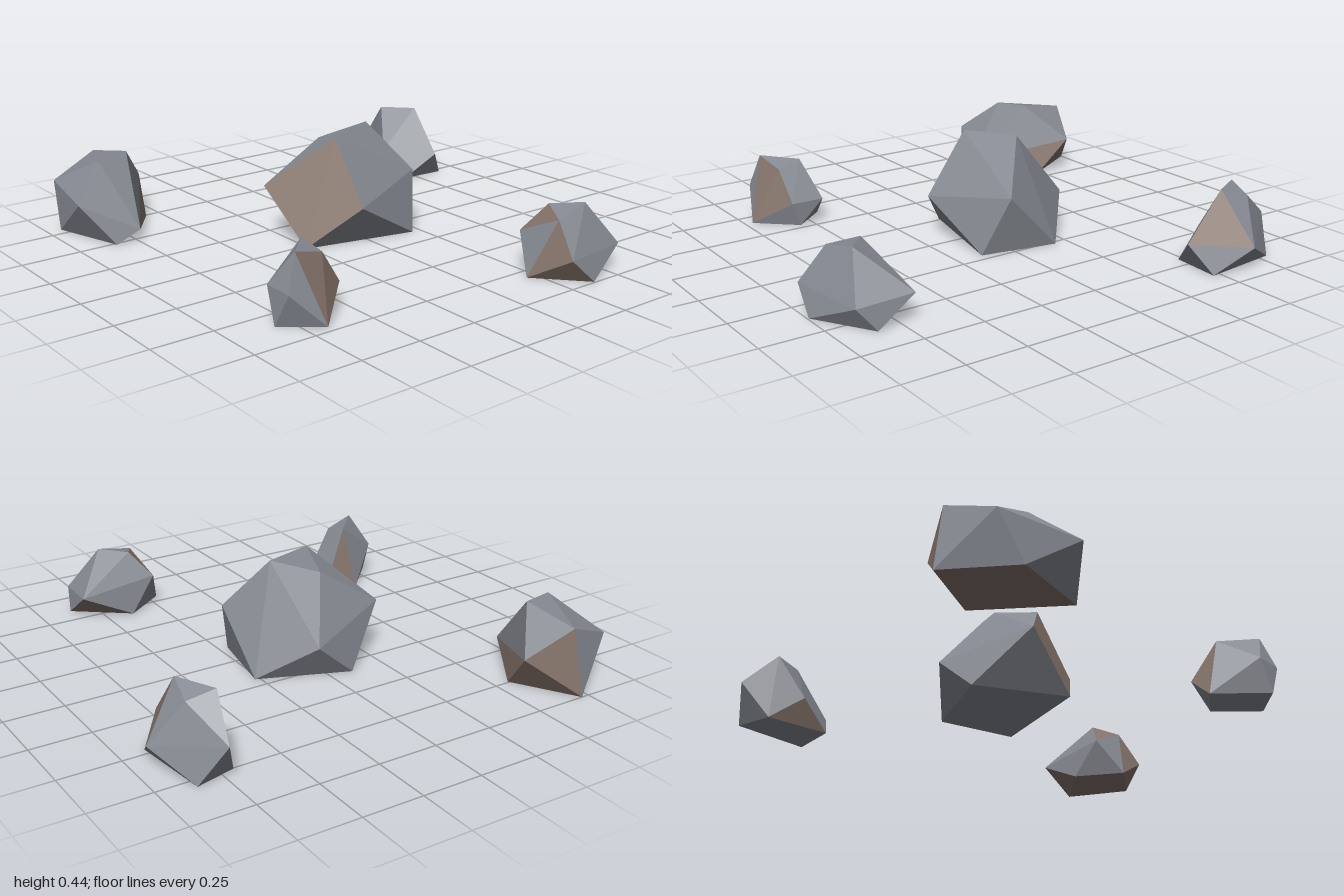
import * as THREE from 'three';
import { ConvexGeometry } from 'three/addons/geometries/ConvexGeometry.js';

// Every crown has up to three corners, stepping down from the peak by these shares.
const CROWN_STEPS = [1, 0.97, 0.87];

// A faceted rock: a ground ring [x, z], shoulders [x, z, height] and a crown [x, z] below the peak.
// Facets whose corners all belong to one of the earthy sets take the second material.
function makeRock(name, materials, { ground, shoulders, crown, peak, earthy, earthyBase = false }) {
  const corners = [
    ...ground.map(([x, z]) => new THREE.Vector3(x, 0, z)),
    ...shoulders.map(([x, z, y]) => new THREE.Vector3(x, y, z)),
    ...crown.map(([x, z], i) => new THREE.Vector3(x, peak * CROWN_STEPS[i], z)),
  ];
  const hull = new ConvexGeometry(corners).getAttribute('position');
  const facets = [[], []];
  for (let i = 0; i < hull.count; i += 3) {
    const tri = [0, 1, 2].map((k) => new THREE.Vector3().fromBufferAttribute(hull, i + k));
    const ids = tri.map((v) => corners.findIndex((c) => c.distanceTo(v) < 1e-4));
    const isBase = tri.every((v) => v.y < 1e-4);
    const isEarth = isBase ? earthyBase : earthy.some((set) => ids.every((id) => set.includes(id)));
    facets[isEarth ? 1 : 0].push(...tri);
  }
  // Stone facets first, earth facets after them
  const geometry = new THREE.BufferGeometry().setFromPoints(facets.flat());
  geometry.addGroup(0, facets[0].length, 0);
  geometry.addGroup(facets[0].length, facets[1].length, 1);
  geometry.computeVertexNormals();
  const mesh = new THREE.Mesh(geometry, materials);
  mesh.name = name;
  return mesh;
}

export function createModel() {
  const stone = new THREE.MeshStandardMaterial({ color: 0x858991 });
  stone.name = 'grey stone';
  const earth = new THREE.MeshStandardMaterial({ color: 0x85746a });
  earth.name = 'brown earth';
  const materials = [stone, earth];

  const group = new THREE.Group();
  group.name = 'scatteredRocks';

  // Large boulder in the middle
  group.add(makeRock('centreBoulder', materials, {
    ground: [[-0.1, -0.335], [0.27, -0.19], [0.21, 0.135], [-0.267, 0.03]],
    shoulders: [[-0.31, -0.2, 0.22], [0.077, -0.36, 0.15], [0.283, 0.045, 0.24], [-0.1, 0.19, 0.177]],
    crown: [[0.135, -0.087], [-0.1, 0.01], [-0.045, -0.177]],
    peak: 0.445,
    earthy: [[3, 4, 7, 9]],
  }));

  // Long rock at the back right
  group.add(makeRock('backRightRock', materials, {
    ground: [[-0.717, -1], [-0.565, -0.743], [-0.844, -0.484], [-0.94, -0.8]],
    shoulders: [[-0.52, -0.876, 0.155], [-0.743, -0.468, 0.05], [-0.966, -0.563, 0.17], [-0.913, -0.897, 0.19]],
    crown: [[-0.66, -0.717], [-0.812, -0.675], [-0.696, -0.95]],
    peak: 0.315,
    earthy: [[0, 1, 4, 5, 10]],
    earthyBase: true,
  }));

  // Narrow rock at the back left
  group.add(makeRock('backLeftRock', materials, {
    ground: [[0.86, -0.796], [0.897, -0.468], [0.69, -0.479], [0.696, -0.754]],
    shoulders: [[0.765, -0.854, 0.15], [0.96, -0.616, 0.1], [0.814, -0.405, 0.115], [0.664, -0.61, 0.115]],
    crown: [[0.817, -0.564], [0.73, -0.71], [0.84, -0.685]],
    peak: 0.31,
    earthy: [[5, 6, 8], [2, 3, 7]],
  }));

  // Smallest rock at the front right
  group.add(makeRock('frontRightRock', materials, {
    ground: [[-0.648, 0.42], [-0.53, 0.56], [-0.673, 0.717], [-0.817, 0.6]],
    shoulders: [[-0.53, 0.452, 0.1], [-0.53, 0.595, 0.1], [-0.8, 0.664, 0.13], [-0.81, 0.548, 0.14]],
    crown: [[-0.75, 0.632], [-0.63, 0.505], [-0.617, 0.61]],
    peak: 0.27,
    earthy: [[2, 5, 8, 10], [0, 4, 9]],
  }));

  // Wedge-shaped rock at the front left
  group.add(makeRock('frontLeftRock', materials, {
    ground: [[0.384, 0.675], [0.61, 0.85], [0.373, 0.995], [0.204, 0.807]],
    shoulders: [[0.61, 0.696, 0.11], [0.585, 0.923, 0.09], [0.267, 0.98, 0.1], [0.267, 0.7, 0.15]],
    crown: [[0.456, 0.856], [0.353, 0.765], [0.293, 0.876]],
    peak: 0.265,
    earthy: [[0, 1, 4], [2, 3, 6, 10], [7, 9, 10]],
    earthyBase: true,
  }));

  return group;
}
